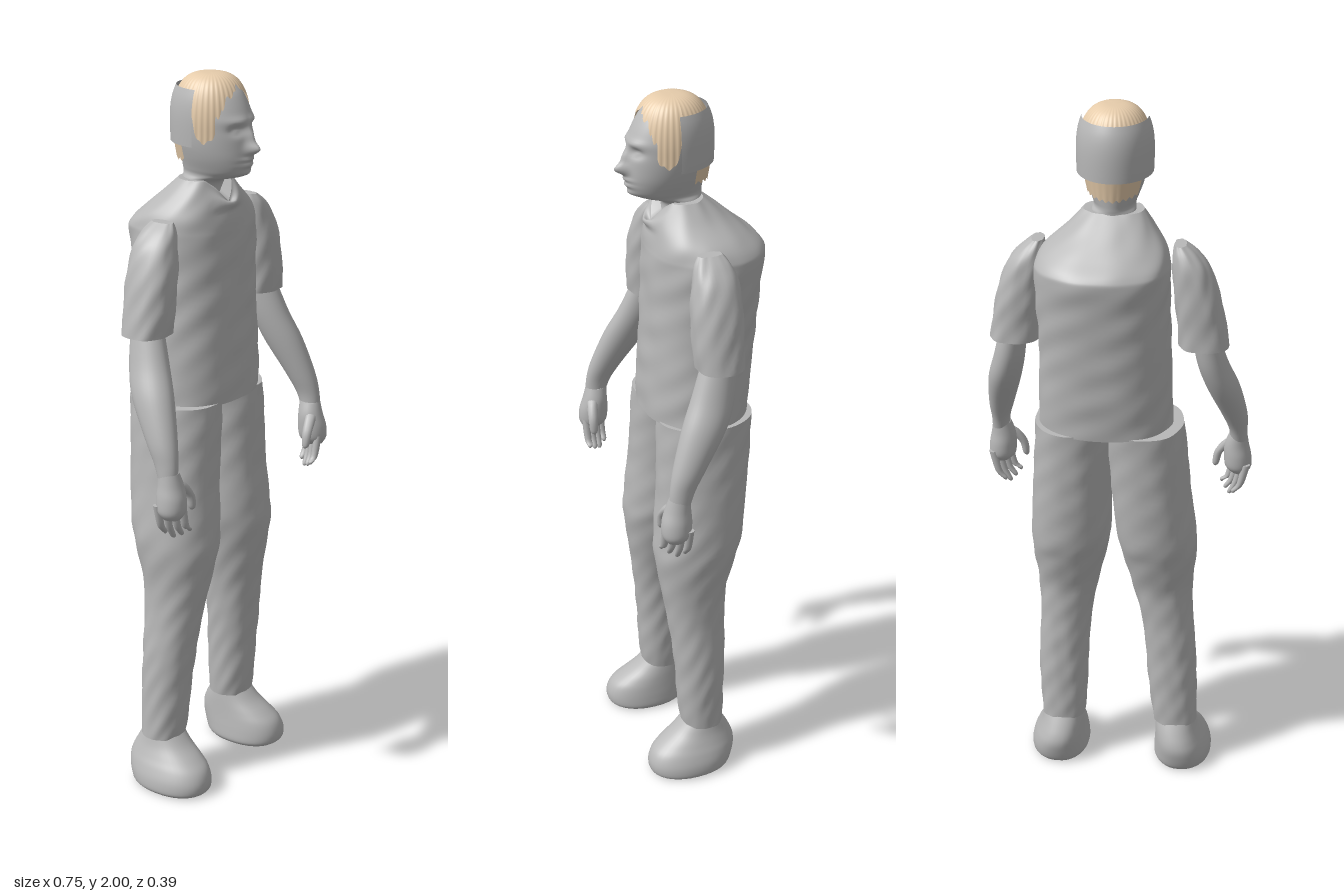
import * as THREE from 'three';

const grey = new THREE.MeshStandardMaterial({ color: 0xb8b8b8, side: THREE.DoubleSide });
grey.name = 'plain grey';
const blond = new THREE.MeshStandardMaterial({ color: 0xe6ccab, side: THREE.DoubleSide });
blond.name = 'blond hair';

const gauss = (v, c, s) => Math.exp(-(((v - c) / s) ** 2));
const step = THREE.MathUtils.smoothstep;

function build(name, pos, idx, material) {
  const g = new THREE.BufferGeometry();
  g.setAttribute('position', new THREE.Float32BufferAttribute(pos, 3));
  g.setIndex(idx);
  g.computeVertexNormals();
  const m = new THREE.Mesh(g, material);
  m.name = name;
  return m;
}

// Smooth skin through oval sections [y, xMin, xMax, zMin, zMax], listed bottom to top
function loft(name, rings, { seg = 32, sub = 5, power = 2, deform = null } = {}) {
  const pos = [], idx = [], n = rings.length, rows = (n - 1) * sub + 1;
  const at = (i, k) => rings[Math.min(n - 1, Math.max(0, i))][k];
  const spline = (t, k) => {
    const i = Math.min(n - 2, Math.floor(t)), f = t - i;
    const [a, b, c, d] = [at(i - 1, k), at(i, k), at(i + 1, k), at(i + 2, k)];
    return b + 0.5 * f * (c - a + f * (2 * a - 5 * b + 4 * c - d + f * (3 * (b - c) + d - a)));
  };
  const curve = (v) => Math.sign(v) * Math.abs(v) ** (2 / power);
  for (let r = 0; r < rows; r++) {
    const [y, x0, x1, z0, z1] = [0, 1, 2, 3, 4].map((k) => spline(r / sub, k));
    for (let j = 0; j < seg; j++) {
      const a = (j / seg) * Math.PI * 2;
      const p = new THREE.Vector3((x0 + x1) / 2 + curve(Math.cos(a)) * (x1 - x0) / 2, y,
        (z0 + z1) / 2 + curve(Math.sin(a)) * (z1 - z0) / 2);
      if (deform) deform(p, a);
      pos.push(p.x, p.y, p.z);
    }
  }
  for (let r = 0; r < rows - 1; r++) for (let j = 0; j < seg; j++) {
    const k = (j + 1) % seg, a = r * seg + j, b = r * seg + k;
    idx.push(a, a + seg, b, b, a + seg, b + seg);
  }
  // Flat end caps with their own corners, so the rims stay sharp
  for (const [r, up] of [[0, false], [rows - 1, true]]) {
    const s = pos.length / 3, c = [0, 0, 0];
    for (let j = 0; j < seg; j++) for (let k = 0; k < 3; k++) {
      const v = pos[(r * seg + j) * 3 + k];
      pos.push(v);
      c[k] += v / seg;
    }
    pos.push(...c);
    for (let j = 0; j < seg; j++) {
      const k = (j + 1) % seg;
      idx.push(s + seg, up ? s + k : s + j, up ? s + j : s + k);
    }
  }
  return build(name, pos, idx, grey);
}

// Open sheet from fn(u, v) -> [x, y, z], u around and v upward
function sheet(name, fn, nu, nv, material) {
  const pos = [], idx = [];
  for (let i = 0; i <= nv; i++) for (let j = 0; j <= nu; j++) pos.push(...fn(j / nu, i / nv));
  for (let i = 0; i < nv; i++) for (let j = 0; j < nu; j++) {
    const a = i * (nu + 1) + j, c = a + nu + 1;
    idx.push(a, c, a + 1, a + 1, c, c + 1);
  }
  return build(name, pos, idx, material);
}

// Soft cloth folds
const folds = (amount) => (p, a) => {
  const w = amount * (Math.sin(p.y * 38 + 3 * Math.sin(a * 2)) * Math.sin(a * 5 + p.y * 17) + 0.5 * Math.sin(p.y * 71 + a * 7));
  p.x += w * Math.cos(a);
  p.z += w * Math.sin(a);
};

function makeHead() {
  const head = new THREE.Group();
  head.name = 'head';
  head.add(loft('faceAndNeck', [
    [1.58, -0.07, 0.07, -0.07, 0.07], [1.66, -0.064, 0.064, -0.05, 0.066], [1.715, -0.06, 0.06, -0.044, 0.066],
    [1.735, -0.056, 0.056, -0.045, 0.125], [1.752, -0.062, 0.062, -0.047, 0.15], [1.785, -0.074, 0.074, -0.052, 0.158],
    [1.82, -0.082, 0.082, -0.06, 0.158], [1.86, -0.086, 0.086, -0.062, 0.155], [1.9, -0.086, 0.086, -0.06, 0.148],
    [1.95, -0.077, 0.077, -0.05, 0.12], [1.98, -0.05, 0.05, -0.02, 0.085]], {
    seg: 96, sub: 8,
    deform: (p) => {
      if (p.z < 0.07 || p.y < 1.735) return;
      const x = Math.abs(p.x), y = p.y;
      p.z += 0.03 * gauss(x, 0, 0.015) * gauss(y, 1.815, 0.016) // nose tip
        + 0.015 * gauss(x, 0, 0.012) * gauss(y, 1.845, 0.025) // nose bridge
        - 0.013 * gauss(x, 0.034, 0.018) * gauss(y, 1.864, 0.012) // eye sockets
        + 0.006 * gauss(x, 0.034, 0.01) * gauss(y, 1.862, 0.006) // eyes
        + 0.006 * gauss(x, 0.03, 0.03) * gauss(y, 1.888, 0.01) // brow
        + 0.008 * gauss(x, 0, 0.024) * (gauss(y, 1.787, 0.006) + gauss(y, 1.771, 0.006)) // lips
        + 0.008 * gauss(x, 0, 0.025) * gauss(y, 1.747, 0.01); // chin
    },
  }));
  // Crown of hair, low beside the temples and high over the brow
  head.add(sheet('hair', (u, v) => {
    const a = u * Math.PI * 2, s = Math.sin(a);
    const low = 1.9 - 0.065 * step(s, 0.05, 0.25) + 0.115 * step(s, 0.5, 0.92) + 0.02 * step(s, 0.96, 1) + 0.006 * Math.cos(a * 24);
    const p0 = Math.asin((low - 1.87) / 0.13), phi = p0 + (Math.PI / 2 - p0) * v;
    const r = Math.max(0, Math.cos(Math.max(phi, 0))) ** 0.6 * (1 + 0.012 * Math.cos(a * 40));
    return [0.097 * r * Math.cos(a), 1.87 + 0.13 * Math.sin(phi), 0.035 + 0.105 * r * s];
  }, 160, 20, blond));
  // Smooth band wrapped round the back of the head
  head.add(sheet('backBand', (u, v) => {
    const a = Math.PI * (1 + u), r = 1 - 0.16 * v ** 4 - 0.03 * (1 - v) ** 2;
    return [0.104 * r * Math.cos(a), 1.82 + 0.147 * v, 0.046 + 0.125 * r * Math.sin(a)];
  }, 40, 10, grey));
  head.add(sheet('napeHair', (u, v) => {
    const a = Math.PI * (1.12 + 0.76 * u), low = 1.765 + 0.02 * Math.abs(u - 0.5) + 0.004 * Math.cos(u * 60);
    return [(0.072 + 0.015 * v) * Math.cos(a), low + (1.84 - low) * v, 0.03 + (0.09 + 0.012 * v) * Math.sin(a)];
  }, 40, 4, blond));
  return head;
}

function makeTorso() {
  return loft('shirt', [
    [1.12, -0.165, 0.2, -0.152, 0.128], [1.22, -0.163, 0.198, -0.163, 0.126], [1.35, -0.158, 0.196, -0.174, 0.12],
    [1.48, -0.156, 0.2, -0.186, 0.115], [1.57, -0.156, 0.203, -0.197, 0.113], [1.6, -0.153, 0.2, -0.19, 0.11],
    [1.635, -0.142, 0.178, -0.15, 0.103], [1.68, -0.11, 0.123, -0.095, 0.093], [1.725, -0.08, 0.08, -0.042, 0.072]], {
    seg: 72, sub: 7, power: 2.25,
    deform: (p, a) => {
      folds(0.0018)(p, a);
      // V-shaped neckline
      if (p.z > 0) p.y -= 0.06 * Math.max(0, 1 - Math.abs(p.x) / 0.06) * step(p.y, 1.66, 1.725);
      if (p.z > 0 && p.y > 1.64) p.z += 0.02 * Math.max(0, 1 - Math.abs(p.x) / 0.06) * step(p.y, 1.64, 1.665);
    },
  });
}

// Limb sections are given for the left; the right side mirrors them with a slight lean
function addPair(group, name, rings, lean, opts) {
  group.add(loft('left' + name, rings, opts));
  const mirrored = rings.map(([y, x0, x1, z0, z1]) => [y, lean(y) - x1, lean(y) - x0, z0, z1]);
  group.add(loft('right' + name, mirrored, opts));
}

export function createModel() {
  const model = new THREE.Group();
  model.name = 'standingMan';
  model.add(makeHead(), makeTorso());

  const armLean = (y) => 0.026 * step(y, 1, 1.4);
  const legLean = (y) => -0.042 + (0.058 * y) / 1.12;

  addPair(model, 'Sleeve', [
    [1.35, 0.2, 0.336, -0.056, 0.07], [1.42, 0.196, 0.325, -0.058, 0.075], [1.5, 0.188, 0.308, -0.06, 0.075],
    [1.57, 0.182, 0.282, -0.054, 0.066], [1.61, 0.182, 0.25, -0.042, 0.055], [1.635, 0.186, 0.218, -0.025, 0.04]],
  armLean, { seg: 40, power: 2.3, deform: folds(0.0015) });

  addPair(model, 'Forearm', [
    [0.99, 0.312, 0.362, 0.118, 0.172], [1.04, 0.31, 0.362, 0.1, 0.17], [1.1, 0.293, 0.364, 0.065, 0.158],
    [1.2, 0.264, 0.354, 0.002, 0.125], [1.28, 0.247, 0.332, -0.026, 0.09], [1.36, 0.238, 0.312, -0.035, 0.06]], armLean);

  addPair(model, 'Palm', [
    [0.895, 0.318, 0.362, 0.13, 0.18], [0.915, 0.3, 0.374, 0.114, 0.192], [0.95, 0.296, 0.373, 0.11, 0.192],
    [0.985, 0.298, 0.366, 0.112, 0.182], [1.02, 0.31, 0.361, 0.112, 0.172]], armLean, { seg: 24 });

  // Fingers curl inward and hang below the palm
  for (let i = 0; i < 4; i++) {
    const x = 0.36 - i * 0.012, z = 0.124 + i * 0.018, tip = 0.825 + 0.012 * Math.abs(i - 1.2);
    const section = (y, dx, r) => [y, x + dx - r, x + dx + r, z - r, z + r];
    addPair(model, 'Finger' + (i + 1), [
      section(tip, -0.034, 0.003), section(tip + 0.008, -0.031, 0.008), section(0.87, -0.014, 0.01), section(0.93, 0, 0.012)],
    armLean, { seg: 10, sub: 4 });
  }
  addPair(model, 'Thumb', [
    [0.9, 0.268, 0.274, 0.167, 0.173], [0.91, 0.263, 0.282, 0.16, 0.182], [0.945, 0.268, 0.292, 0.156, 0.184],
    [0.98, 0.29, 0.325, 0.148, 0.178], [1.0, 0.315, 0.34, 0.14, 0.165]], armLean, { seg: 12, sub: 4 });

  addPair(model, 'TrouserLeg', [
    [0.145, 0.085, 0.21, -0.054, 0.063], [0.2, 0.08, 0.212, -0.055, 0.072], [0.3, 0.075, 0.216, -0.058, 0.078],
    [0.4, 0.071, 0.215, -0.06, 0.088], [0.5, 0.062, 0.211, -0.062, 0.1], [0.6, 0.042, 0.215, -0.07, 0.116],
    [0.7, 0.02, 0.228, -0.098, 0.131], [0.77, 0.008, 0.231, -0.116, 0.13], [0.9, 0.004, 0.223, -0.13, 0.12],
    [1.02, 0, 0.217, -0.139, 0.117], [1.125, -0.003, 0.211, -0.146, 0.114]],
  legLean, { seg: 48, power: 2.15, deform: folds(0.0014) });

  // Rounded shoes with the ankle rising into the trousers
  addPair(model, 'Shoe', [
    [0, 0.085, 0.235, -0.06, 0.155], [0.012, 0.078, 0.245, -0.07, 0.168], [0.04, 0.08, 0.244, -0.08, 0.17],
    [0.07, 0.084, 0.234, -0.086, 0.158], [0.095, 0.087, 0.222, -0.082, 0.13], [0.125, 0.09, 0.21, -0.068, 0.09],
    [0.16, 0.094, 0.202, -0.048, 0.056]], legLean, { seg: 36, power: 2.2 });

  return model;
}
